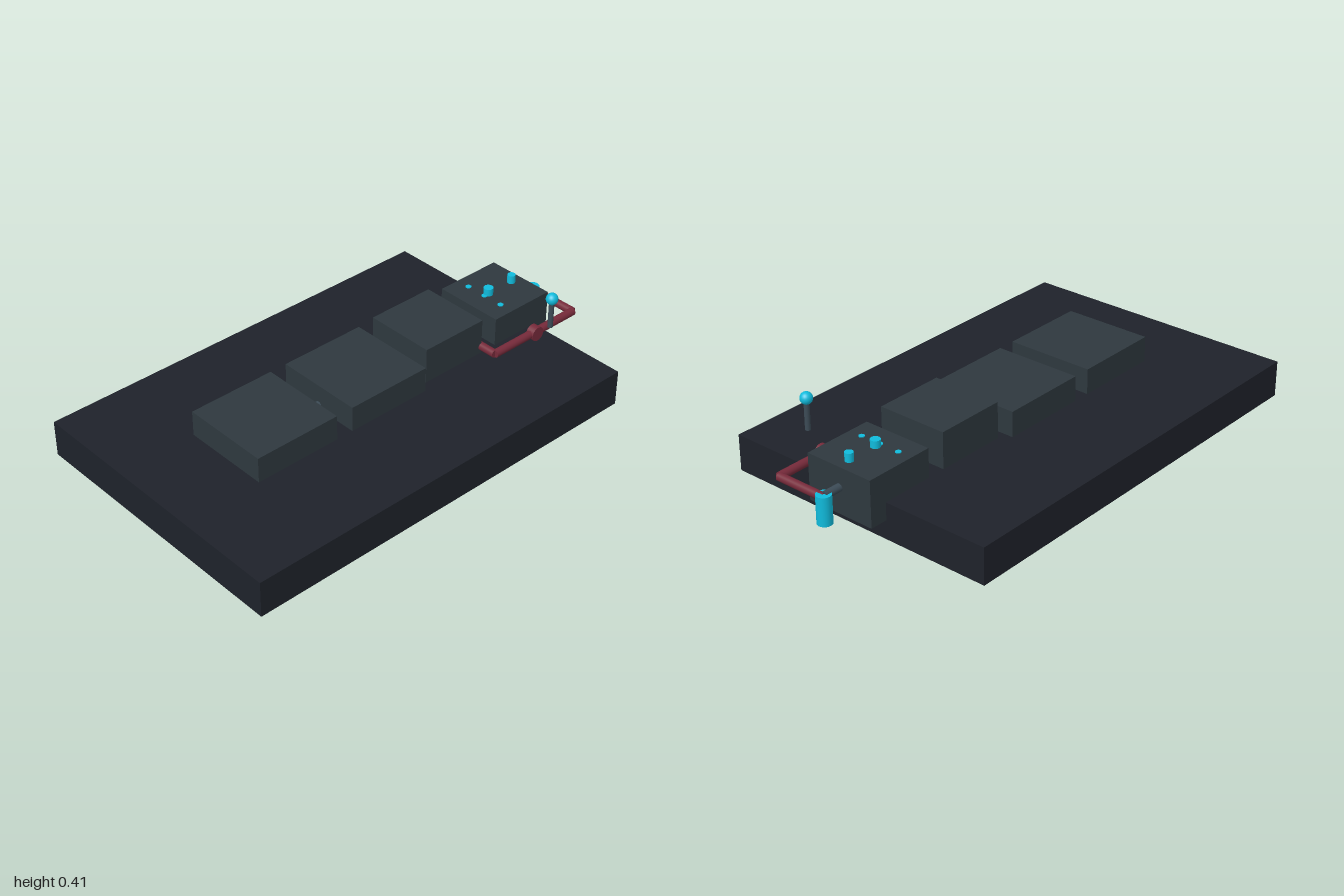
import * as THREE from 'three';

const mat = (color) => new THREE.MeshStandardMaterial({ color });

export function createModel() {
  const model = new THREE.Group();
  const dark = mat(0x1e222a), slate = mat(0x2e383e), steel = mat(0x3c4b56);
  const red = mat(0x762a3a), cyan = mat(0x10bbdc);

  const add = (name, geometry, material, x, y, z) => {
    const mesh = new THREE.Mesh(geometry, material);
    mesh.name = name;
    mesh.position.set(x, y, z);
    model.add(mesh);
    return mesh;
  };
  // Box given by its x range, y range and half depth
  const block = (name, x0, x1, y0, y1, halfZ, material) =>
    add(name, new THREE.BoxGeometry(x1 - x0, y1 - y0, halfZ * 2), material, (x0 + x1) / 2, (y0 + y1) / 2, 0);
  // Cylinder between two points
  const rod = (name, a, b, radius, material) => {
    const from = new THREE.Vector3(...a), to = new THREE.Vector3(...b);
    const axis = to.clone().sub(from);
    const mid = from.clone().add(to).multiplyScalar(0.5);
    const mesh = add(name, new THREE.CylinderGeometry(radius, radius, axis.length(), 24), material, mid.x, mid.y, mid.z);
    mesh.quaternion.setFromUnitVectors(new THREE.Vector3(0, 1, 0), axis.normalize());
  };

  // Base slab and the row of housings
  block('base', -1, 0.815, 0, 0.153, 0.605, dark);
  block('rearHousing', -0.66, -0.283, 0.08, 0.26, 0.19, slate);
  block('middleHousing', -0.208, 0.17, 0.08, 0.26, 0.19, slate);
  block('pumpHousing', 0.21, 0.513, 0.08, 0.305, 0.152, slate);
  block('controlHousing', 0.59, 0.89, 0.08, 0.274, 0.152, slate);

  // Connecting pipes
  [[-0.3, -0.19, 0.17], [0.15, 0.23, 0.195], [0.49, 0.61, 0.18], [0.87, 0.965, 0.19]].forEach(
    ([x0, x1, y], i) => rod(`connector${i + 1}`, [x0, y, 0], [x1, y, 0], 0.016, steel));

  // Bypass loop with its valve
  const y = 0.183, z = 0.225;
  const corners = [[0.515, y, 0], [0.515, y, z], [0.965, y, z], [0.965, y, 0]];
  for (let i = 0; i < 3; i++) rod(`bypassPipe${i + 1}`, corners[i], corners[i + 1], 0.017, red);
  rod('bypassValve', [0.74, y, 0.21], [0.74, y, 0.245], 0.031, red);

  // Lever with ball knob
  rod('leverStem', [0.74, 0.25, 0.305], [0.74, 0.37, 0.305], 0.011, steel);
  add('leverKnob', new THREE.SphereGeometry(0.025, 24, 16), cyan, 0.74, 0.38, 0.305);

  // Outlet nozzle
  rod('outlet', [0.967, 0.08, 0], [0.967, 0.198, 0], 0.03, cyan);

  // Buttons and indicator lights on the control housing
  rod('largeButton', [0.702, 0.27, 0], [0.702, 0.305, 0], 0.02, cyan);
  rod('smallButton', [0.835, 0.27, 0], [0.835, 0.31, 0], 0.017, cyan);
  [-0.09, 0, 0.09].forEach((lz, i) => rod(`indicator${i + 1}`, [0.68, 0.265, lz], [0.68, 0.277, lz], 0.012, cyan));

  return model;
}
